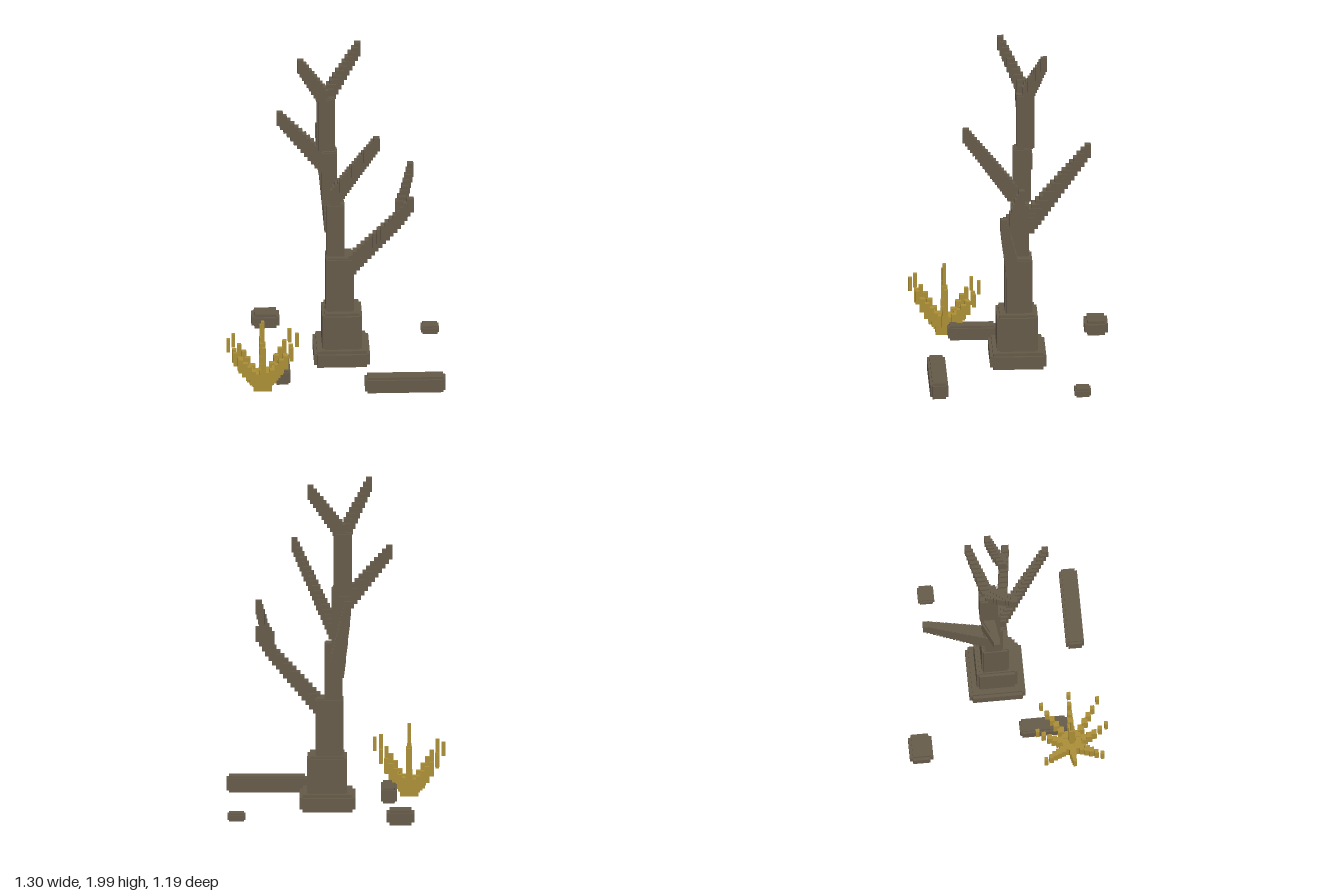
import * as THREE from 'three';

const bark = new THREE.MeshStandardMaterial({ color: 0x655a49 });
bark.name = 'grey brown bark';
const straw = new THREE.MeshStandardMaterial({ color: 0xab8e35 });
straw.name = 'dry straw';

function box(parent, name, mat, size, pos) {
  const m = new THREE.Mesh(new THREE.BoxGeometry(...size), mat);
  m.name = name;
  m.position.set(...pos);
  parent.add(m);
  return m;
}

// Block with stepped edges: three crossing boxes, each full size along one axis
function steppedBlock(parent, name, [x0, x1], [y0, y1], [z0, z1], s) {
  const g = new THREE.Group();
  g.name = name;
  const size = [x1 - x0, y1 - y0, z1 - z0];
  for (let axis = 0; axis < 3; axis++) {
    box(g, name + 'Layer', bark, size.map((v, i) => (i === axis ? v : v - 2 * s)), [0, 0, 0]);
  }
  g.position.set((x0 + x1) / 2, (y0 + y1) / 2, (z0 + z1) / 2);
  parent.add(g);
}

// Branch made of small upright blocks stepping along a path and tapering
function branch(parent, name, points, w0, w1 = 0.038) {
  const g = new THREE.Group();
  g.name = name;
  const path = new THREE.CurvePath();
  for (let i = 1; i < points.length; i++) {
    path.add(new THREE.LineCurve3(new THREE.Vector3(...points[i - 1]), new THREE.Vector3(...points[i])));
  }
  const n = Math.max(5, Math.round(path.getLength() / 0.034));
  for (let i = 0; i <= n; i++) {
    const t = i / n;
    const w = THREE.MathUtils.lerp(w0, w1, t);
    const p = path.getPoint(t);
    box(g, name + 'Block', bark, [w, 0.07 + w * 0.4, w], [p.x, p.y, p.z]);
  }
  parent.add(g);
}

export function createModel() {
  const model = new THREE.Group();
  model.name = 'deadTree';

  // Trunk: stacked blocks, narrowing upward
  const trunk = new THREE.Group();
  trunk.name = 'trunk';
  model.add(trunk);
  steppedBlock(trunk, 'trunkBase', [-0.12, 0.213], [0.01, 0.115], [-0.205, 0.13], 0.018);
  steppedBlock(trunk, 'trunkFoot', [-0.07, 0.168], [0.09, 0.342], [-0.157, 0.087], 0.016);
  steppedBlock(trunk, 'trunkLower', [-0.047, 0.12], [0.33, 0.685], [-0.125, 0.038], 0.01);
  steppedBlock(trunk, 'trunkMiddle', [-0.042, 0.066], [0.67, 1.02], [-0.108, 0], 0.008);
  steppedBlock(trunk, 'trunkUpper', [-0.07, 0.022], [1.01, 1.36], [-0.12, -0.015], 0.008);
  steppedBlock(trunk, 'trunkTop', [-0.098, 0.01], [1.35, 1.7], [-0.142, -0.035], 0.008);

  // Branches
  branch(model, 'leftBranch', [[0.1, 0.63, -0.005], [0.38, 0.94, 0.045], [0.455, 1.045, 0.06]], 0.07, 0.042);
  branch(model, 'leftBranchFork', [[0.39, 1.02, 0.035], [0.42, 1.08, 0.0], [0.458, 1.23, -0.045]], 0.05);
  branch(model, 'frontBranch', [[0.01, 1.08, -0.01], [0.245, 1.545, 0.278]], 0.062);
  branch(model, 'rightBranch', [[-0.055, 1.26, -0.095], [-0.32, 1.568, -0.062]], 0.072);
  branch(model, 'backBranch', [[-0.01, 0.87, -0.1], [-0.075, 1.305, -0.463]], 0.085);
  branch(model, 'topRightBranch', [[-0.06, 1.7, -0.08], [-0.2, 1.957, 0.052]], 0.06);
  branch(model, 'topLeftBranch', [[-0.03, 1.7, -0.1], [0.148, 1.957, -0.192]], 0.06);

  // Fallen logs and stones
  steppedBlock(model, 'frontLog', [0.17, 0.65], [0.01, 0.11], [0.4, 0.507], 0.014);
  steppedBlock(model, 'sideLog', [-0.365, -0.27], [0.01, 0.1], [0.075, 0.36], 0.012);
  steppedBlock(model, 'largeStone', [-0.472, -0.305], [0.01, 0.1], [-0.595, -0.455], 0.018);
  steppedBlock(model, 'smallStone', [0.535, 0.642], [0.005, 0.055], [-0.452, -0.355], 0.01);

  // Dry grass tuft: eight arching rays of upright blades around a central spike
  const tuft = new THREE.Group();
  tuft.name = 'grassTuft';
  tuft.position.set(-0.438, 0, 0.375);
  model.add(tuft);
  box(tuft, 'tuftCore', straw, [0.11, 0.08, 0.11], [0, 0.045, 0]);
  box(tuft, 'tuftSpikeLower', straw, [0.035, 0.22, 0.035], [0, 0.19, 0]);
  box(tuft, 'tuftSpikeTip', straw, [0.02, 0.16, 0.02], [0, 0.36, 0]);
  const axisRay = [[0.045, 0.07], [0.075, 0.095], [0.105, 0.13], [0.133, 0.17], [0.168, 0.23], [0.205, 0.3]];
  const diagonalRay = [[0.035, 0.075], [0.06, 0.1], [0.085, 0.14], [0.108, 0.175], [0.135, 0.21], [0.168, 0.27]];
  for (let k = 0; k < 8; k++) {
    const dx = Math.round(Math.cos(k * Math.PI / 4));
    const dz = Math.round(Math.sin(k * Math.PI / 4));
    const lift = 1 + 0.1 * (dx + dz) / 2;
    (k % 2 ? diagonalRay : axisRay).forEach(([r, y], i) => {
      const w = 0.042 - i * 0.004;
      box(tuft, 'grassBlade', straw, [w, 0.085, w], [dx * r, y * lift, dz * r]);
    });
  }
  return model;
}
